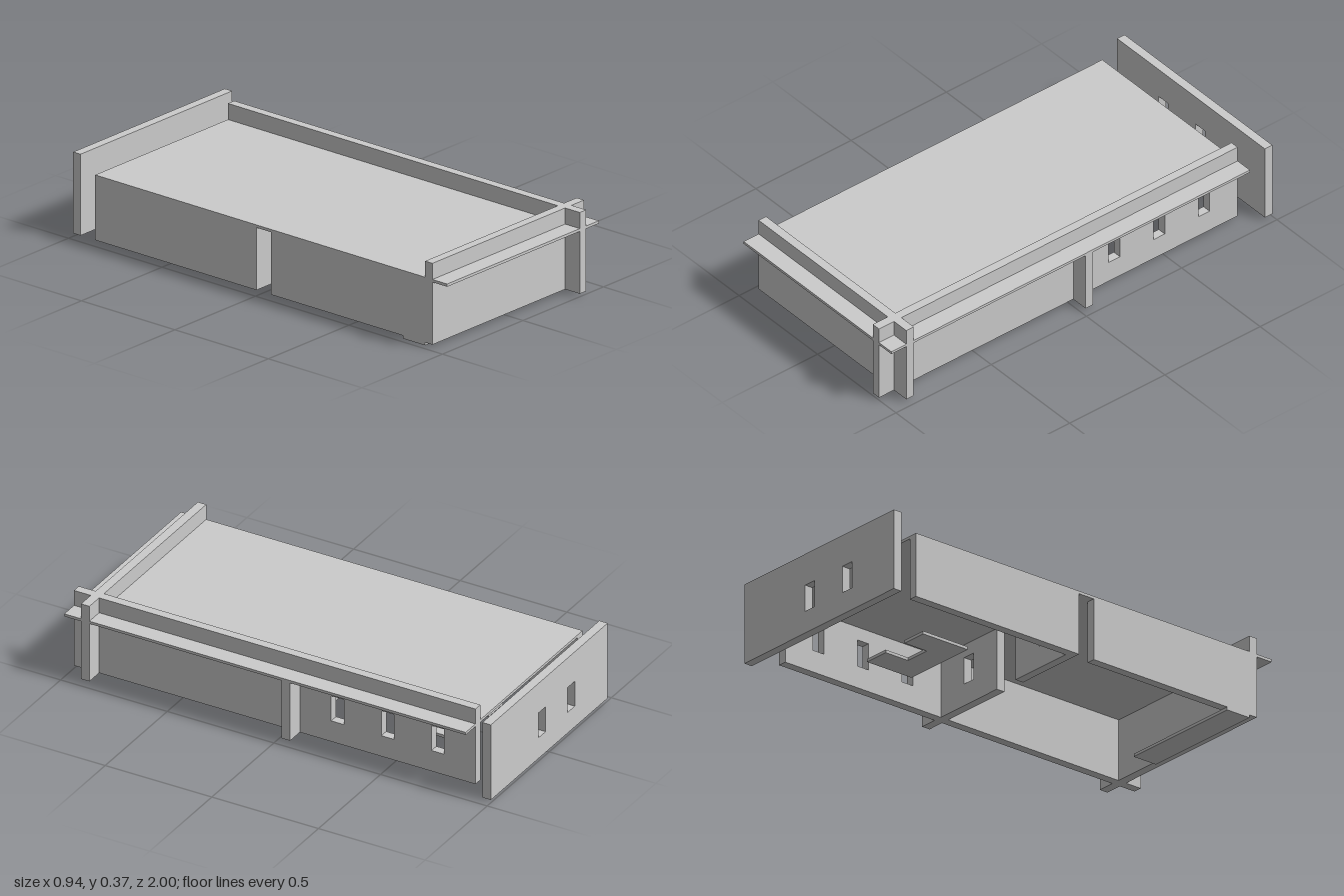
import * as THREE from 'three';

const U = 2 / 17;                 // planning module
const T = U / 3;                  // wall thickness
const BASE = 0.013, EAVE = 0.284, ROOF = 0.296, TOP = 0.366;
const SILL = 0.11, HEAD = 0.227, WIN = U / 2;
const X = 4 * U;                  // half width
const BACK = 1 - 16 * U;          // rear edge of the roofed part
const F0 = 1 - U, F1 = F0 + T;    // front wall faces
const S0 = X - U, S1 = S0 + T;    // side wall faces
const M0 = 1 - 9 * U, M1 = M0 + T; // middle partition faces

export function createModel() {
  const model = new THREE.Group();
  const mat = new THREE.MeshStandardMaterial({ color: 0xcccccc, flatShading: true });

  const add = (name, geo) => {
    const mesh = new THREE.Mesh(geo, mat);
    mesh.name = name;
    model.add(mesh);
    return mesh;
  };
  const box = (name, x0, x1, y0, y1, z0, z1) =>
    add(name, new THREE.BoxGeometry(x1 - x0, y1 - y0, z1 - z0))
      .position.set((x0 + x1) / 2, (y0 + y1) / 2, (z0 + z1) / 2);

  const rect = (Type, a, b, c, d) =>
    new Type([[a, c], [b, c], [b, d], [a, d]].map(p => new THREE.Vector2(...p)));
  // Upright wall panel from a to b with window openings at the given centres
  const panel = (a, b, top, windows) => {
    const shape = rect(THREE.Shape, a, b, BASE, top);
    for (const c of windows) shape.holes.push(rect(THREE.Path, c - WIN / 2, c + WIN / 2, SILL, HEAD));
    return new THREE.ExtrudeGeometry(shape, { depth: T, bevelEnabled: false });
  };
  const wallX = (name, x0, x1, z, top, windows = []) =>
    add(name, panel(x0, x1, top, windows)).position.set(0, 0, z);
  const wallZ = (name, z0, z1, x, top, windows = []) =>
    add(name, panel(z0, z1, top, windows).rotateY(-Math.PI / 2)).position.set(x + T, 0, 0);

  // Long side wall with parapet, crossing the front wall
  wallZ('sideWall', BACK, 1, S0, TOP, [-2 * U, -4 * U, -6 * U]);
  wallX('frontWall', -X, S0, F0, TOP);
  wallX('cornerFin', S1, X, F0, TOP);

  // Opposite side wall, in two lengths with a gap between
  wallZ('leftWallRear', BACK, M1, -X, EAVE);
  wallZ('leftWallFront', M1 + 2 * T, F0, -X, EAVE);

  // Middle partition and its outer fin
  wallX('partitionLeft', -X + T, -U, M0, EAVE, [-2.5 * U]);
  wallX('partitionRight', 0, S0, M0, EAVE, [1.5 * U]);
  wallX('middleFin', S1, X, M0, EAVE);

  // Freestanding rear wall
  wallX('rearWall', -X, X, -1, TOP, [U / 2, -1.5 * U]);

  // Roof slab and the thin ledges outside the parapets
  box('roof', -X, S0, EAVE, ROOF, BACK, F0);
  box('frontLedge', -X, S0, EAVE, ROOF, F1, 1);
  box('sideLedge', S1, X, EAVE, ROOF, BACK, F0);
  box('cornerLedge', S1, X, EAVE, ROOF, F1, 1);

  // Thin floor plates
  box('frontPlate', -X, U, 0, BASE, F0 - U, F0);
  const zA = 1 - 14 * U, zB = zA + U, zC = zB + U;
  const outline = [[-2 * U, zA], [-U, zA], [-U, zB], [0, zB], [0, zA], [U, zA], [U, zC], [-2 * U, zC]];
  const plate = new THREE.Shape(outline.map(([x, z]) => new THREE.Vector2(x, -z)));
  add('notchedPlate', new THREE.ExtrudeGeometry(plate, { depth: BASE, bevelEnabled: false })
    .rotateX(-Math.PI / 2));

  return model;
}
